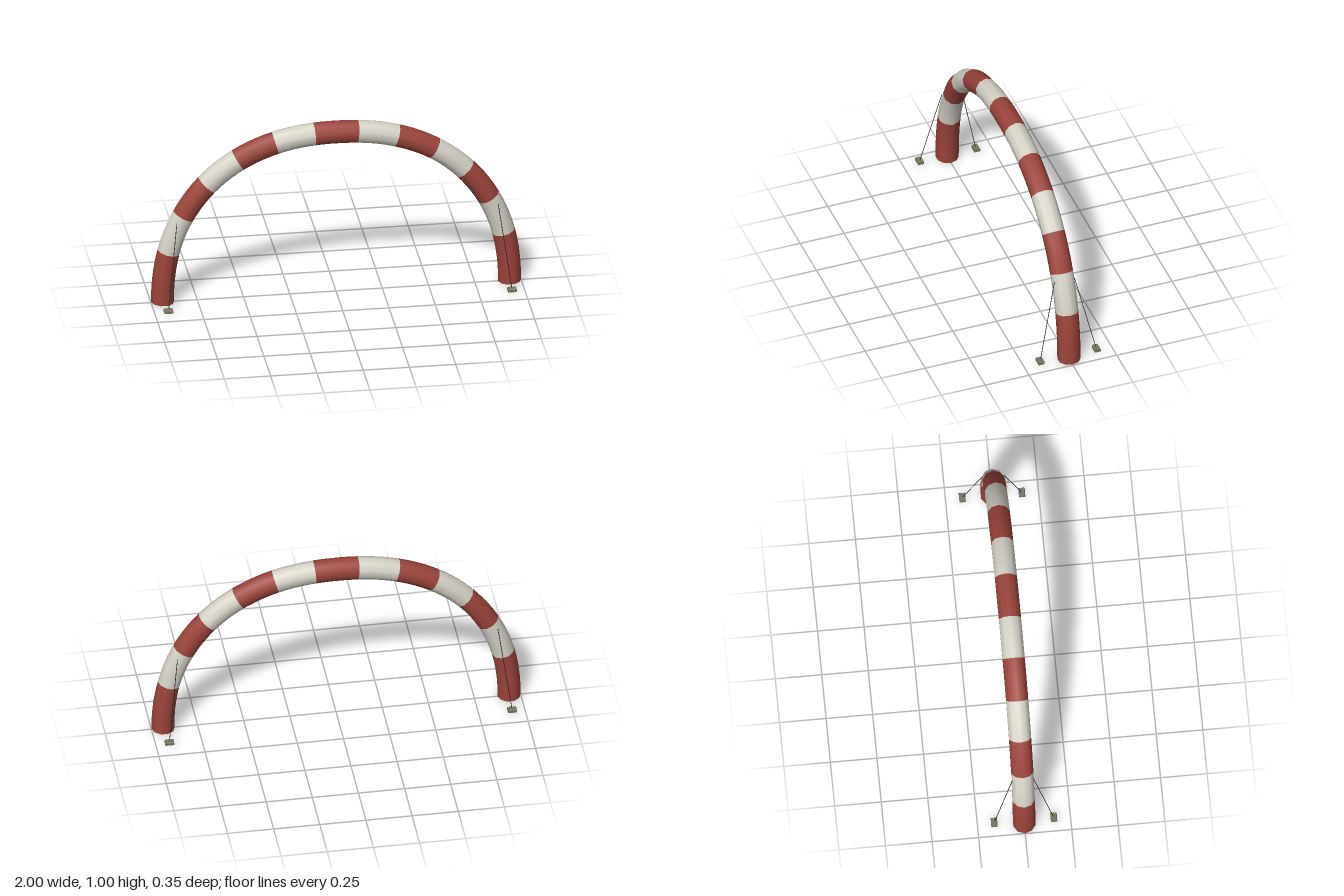
import * as THREE from 'three';

const RADIUS = 0.0622, SIDES = 10, STEPS = 5, LIFT = 0.0022;

function material(name, color, extra = {}) {
  return new THREE.MeshStandardMaterial({ name, color, ...extra });
}

// Centre line: a slightly squared half circle, t from 0 (left foot) to PI (right foot)
function archPoint(t) {
  const c = Math.cos(t), s = Math.max(0, Math.sin(t));
  return new THREE.Vector3(
    0.9378 * Math.sign(c) * Math.pow(Math.abs(c), 0.9),
    0.939 * Math.pow(s, 0.9) + LIFT, 0);
}

// Tangent and outward direction of the arch at t
function archFrame(t) {
  const a = archPoint(Math.max(0, t - 0.1)), b = archPoint(Math.min(Math.PI, t + 0.1));
  const tangent = b.sub(a).normalize();
  return { tangent, outward: new THREE.Vector3(tangent.y, -tangent.x, 0) };
}

// One stripe of the tube between two parameters, with smooth normals
function bandGeometry(t0, t1) {
  const positions = [], normals = [], index = [];
  for (let i = 0; i <= STEPS; i++) {
    const t = t0 + (t1 - t0) * i / STEPS;
    const p = archPoint(t), { outward } = archFrame(t);
    for (let j = 0; j <= SIDES; j++) {
      const a = j / SIDES * Math.PI * 2;
      const n = outward.clone().multiplyScalar(Math.cos(a));
      n.z = Math.sin(a);
      normals.push(n.x, n.y, n.z);
      positions.push(p.x + n.x * RADIUS, p.y + n.y * RADIUS, n.z * RADIUS);
    }
  }
  const row = SIDES + 1;
  for (let i = 0; i < STEPS; i++) {
    for (let j = 0; j < SIDES; j++) {
      const a = i * row + j, b = a + 1, c = a + row, d = c + 1;
      index.push(a, c, b, b, c, d);
    }
  }
  const g = new THREE.BufferGeometry();
  g.setAttribute('position', new THREE.Float32BufferAttribute(positions, 3));
  g.setAttribute('normal', new THREE.Float32BufferAttribute(normals, 3));
  g.setIndex(index);
  return g;
}

// Flat disc closing a foot of the arch
function footCap(t, sign, mat) {
  const { tangent, outward } = archFrame(t);
  const cap = new THREE.Mesh(new THREE.CircleGeometry(RADIUS, SIDES), mat);
  const m = new THREE.Matrix4().makeBasis(
    outward, new THREE.Vector3(0, 0, -sign), tangent.multiplyScalar(sign));
  cap.quaternion.setFromRotationMatrix(m);
  cap.position.copy(archPoint(t));
  cap.name = 'footCap';
  return cap;
}

// Ground weight with a slightly narrowed top
function weightGeometry() {
  const g = new THREE.BoxGeometry(0.048, 0.02, 0.034, 1, 2, 1);
  const p = g.attributes.position;
  for (let i = 0; i < p.count; i++) {
    if (p.getY(i) > 0.005) {
      p.setX(i, p.getX(i) * 0.88);
      p.setZ(i, p.getZ(i) * 0.78);
    } else if (p.getY(i) > -0.005) p.setY(i, 0.004);
  }
  const flat = g.toNonIndexed();
  flat.computeVertexNormals();
  return flat;
}

export function createModel() {
  const model = new THREE.Group();
  model.name = 'inflatableArch';
  const red = material('red', 0x9c443b);
  const white = material('offWhite', 0xd6d3c8);
  const ropeMat = material('ropeDark', 0x222422);
  const weightMat = material('weightGrey', 0x77745f);

  // Thirteen alternating stripes, mirrored about the crown
  const half = [0, 0.278, 0.522, 0.766, 1.012, 1.254, 1.472];
  const bounds = [...half, ...half.map(t => Math.PI - t).reverse()];
  for (let i = 0; i < bounds.length - 1; i++) {
    const isRed = i % 2 === 0;
    const band = new THREE.Mesh(bandGeometry(bounds[i], bounds[i + 1]), isRed ? red : white);
    band.name = isRed ? 'redStripe' : 'whiteStripe';
    model.add(band);
  }
  model.add(footCap(0, -1, red), footCap(Math.PI, 1, red));

  // Four guy ropes, each tied to a ground weight
  const weightGeo = weightGeometry();
  for (const sx of [1, -1]) {
    for (const sz of [1, -1]) {
      const tie = new THREE.Group();
      tie.name = 'guyRope';
      const top = new THREE.Vector3(sx * 0.868, 0.485, sz * 0.056);
      const bottom = new THREE.Vector3(sx * 0.928, 0.022, sz * 0.159);
      const rope = new THREE.Mesh(
        new THREE.TubeGeometry(new THREE.LineCurve3(top, bottom), 1, 0.0018, 6), ropeMat);
      rope.name = 'rope';
      const weight = new THREE.Mesh(weightGeo, weightMat);
      weight.name = 'groundWeight';
      weight.position.set(sx * 0.928, 0.021, sz * 0.16);
      tie.add(rope, weight);
      model.add(tie);
    }
  }
  return model;
}
